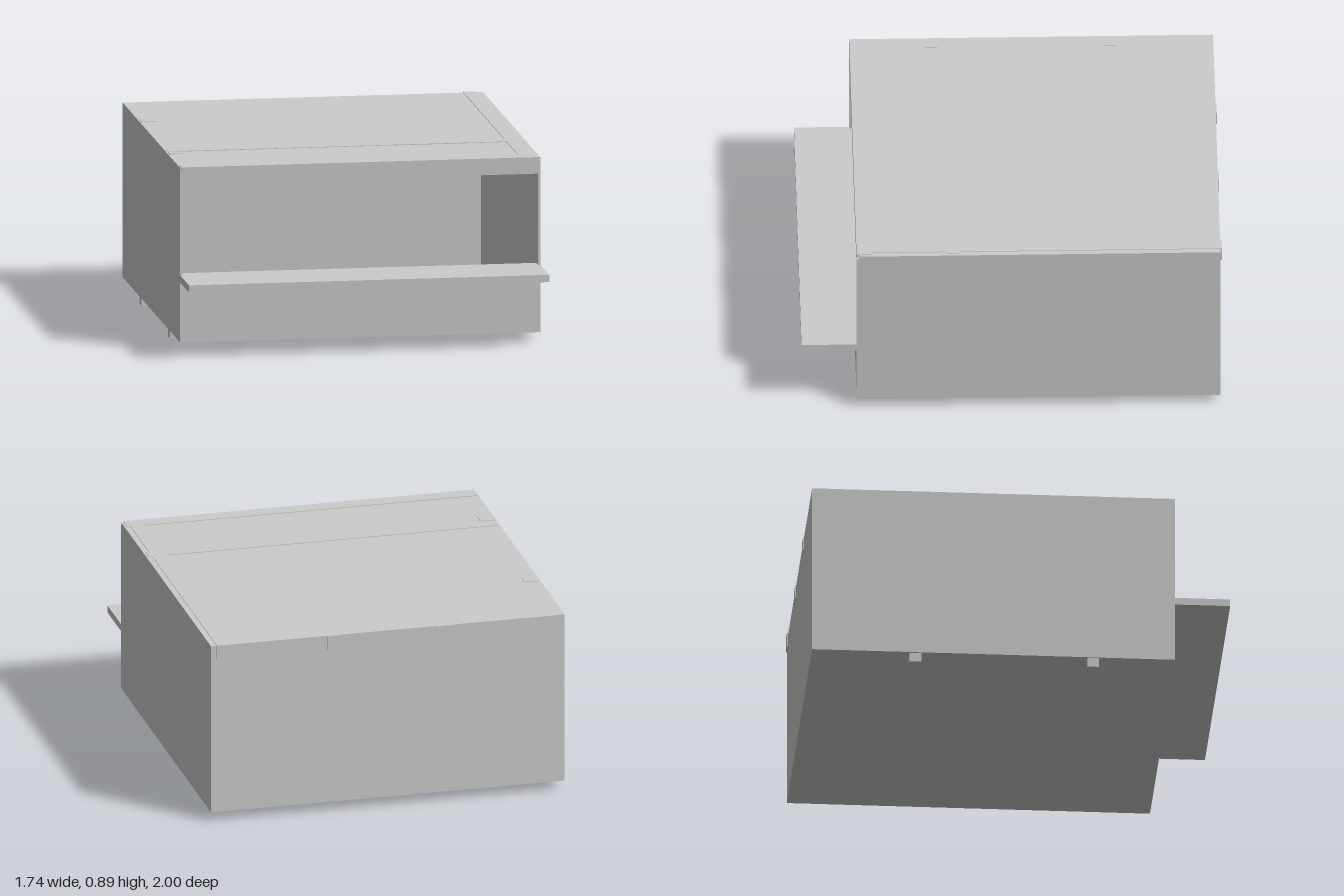
import * as THREE from 'three';

export function createModel() {
  const model = new THREE.Group();
  const material = new THREE.MeshStandardMaterial({ color: 0xcccccc, flatShading: true });

  // Box given by its minimum and maximum on each axis
  function slab(name, [x0, x1], [y0, y1], [z0, z1]) {
    const mesh = new THREE.Mesh(new THREE.BoxGeometry(x1 - x0, y1 - y0, z1 - z0), material);
    mesh.position.set((x0 + x1) / 2, (y0 + y1) / 2, (z0 + z1) / 2);
    mesh.name = name;
    model.add(mesh);
  }

  const W = 0.868, T = 0.012;          // half width, panel thickness
  const bottom = 0.045, top = 0.889;   // shell heights
  const back = -0.993, front = 0.738;

  // Thin panel shell, open in the upper front
  slab('floorPanel', [-W, W], [bottom, bottom + T], [back, front]);
  slab('roofPanel', [-W, W], [top - T, top], [back, front - T]);
  slab('backPanel', [-W, W], [bottom + T, top - T], [back, back + T]);
  slab('frontPanel', [-W, W], [bottom + T, 0.335], [front - T, front]);
  for (const [name, s] of [['leftPanel', 1], ['rightPanel', -1]]) {
    const xs = [s * W, s * (W - T)].sort((a, b) => a - b);
    slab(name, xs, [bottom + T, top - T], [back + T, front]);
  }

  // Counter shelf projecting from the opening
  slab('counterShelf', [-W, W], [0.335, 0.37], [0.68, 1]);

  // Posts on one side, passing through the floor as feet
  for (const z of [0.348, -0.5]) {
    slab('post', [-0.86, -0.79], [0, 0.892], [z - 0.028, z + 0.028]);
  }

  // Roof framing: the front and middle beams stand just proud of the roof
  slab('frontHeader', [-0.862, 0.856], [0.812, 0.892], [0.66, front]);
  slab('middleBeam', [-0.856, 0.856], [0.822, 0.892], [0.245, 0.312]);
  slab('hiddenBeam', [-0.856, 0.856], [0.822, top - T], [-0.23, -0.165]);
  slab('backBeam', [-0.856, 0.856], [0.822, top - T], [back + T, -0.91]);

  // Roof joists whose ends show at the back
  for (const x of [-0.28, 0.262]) {
    slab('roofJoist', [x - 0.034, x + 0.034], [0.822, top - 0.001], [-0.998, 0.66]);
  }
  slab('sideJoist', [0.772, 0.84], [0.822, 0.892], [-1, 0.66]);

  return model;
}
